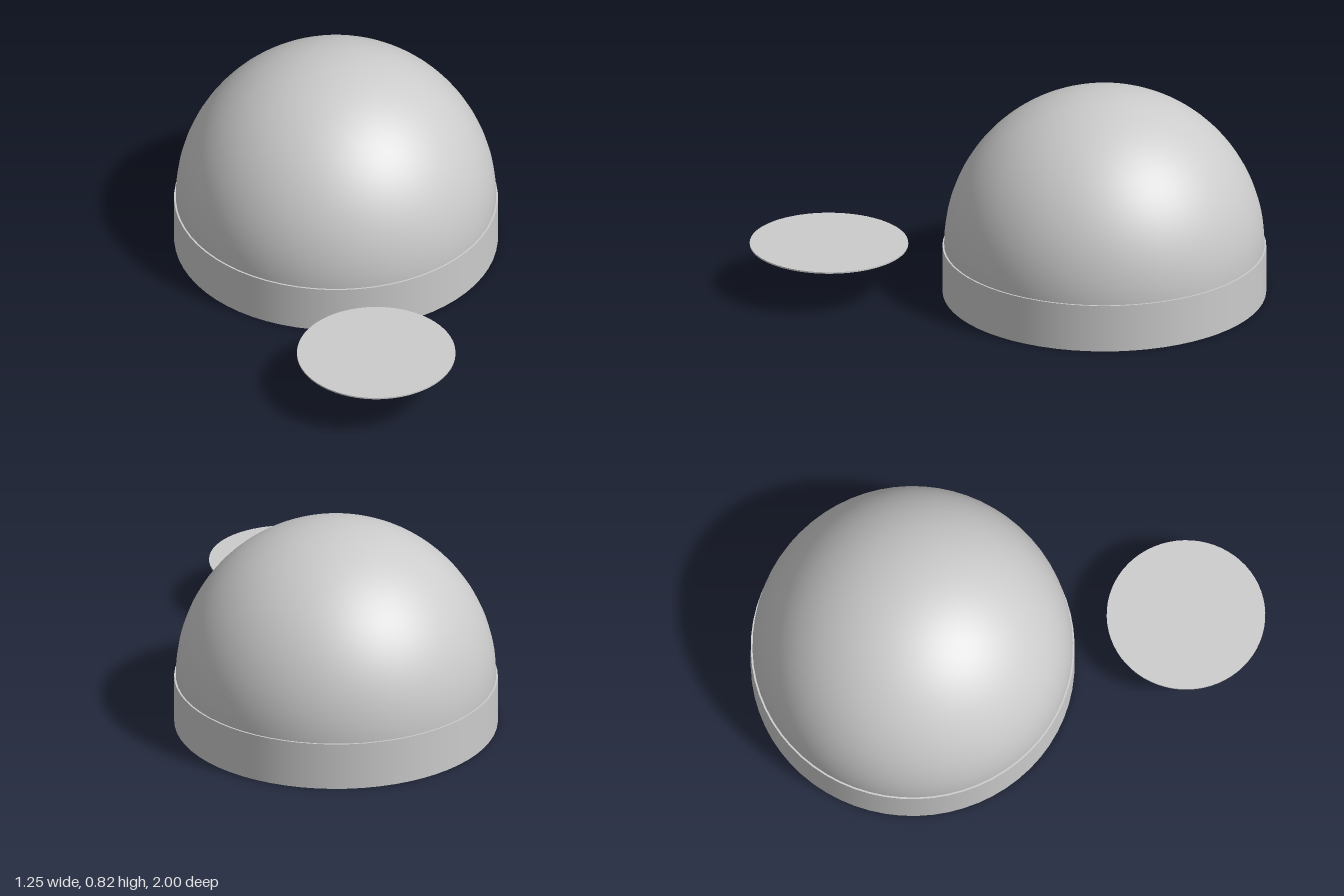
import * as THREE from 'three';

export function createModel() {
  const model = new THREE.Group();
  const material = new THREE.MeshStandardMaterial({ color: 0xcccccc });

  const add = (name, geometry, y, z) => {
    const mesh = new THREE.Mesh(geometry, material);
    mesh.name = name;
    mesh.position.set(0, y, z);
    model.add(mesh);
  };

  const domeZ = -0.373;
  const baseHeight = 0.19;
  const domeRadius = 0.62;
  const domeCentre = 0.2;

  // Round drum that carries the dome
  add('base', new THREE.CylinderGeometry(0.627, 0.627, baseHeight, 64), baseHeight / 2, domeZ);

  // Half sphere, carried down just far enough to meet the drum
  const sweep = Math.PI / 2 + Math.asin((domeCentre - baseHeight) / domeRadius);
  add('dome', new THREE.SphereGeometry(domeRadius, 64, 32, 0, Math.PI * 2, 0, sweep), domeCentre, domeZ);

  // Thin round plate floating in front, level with the drum's top
  add('frontDisc', new THREE.CylinderGeometry(0.307, 0.307, 0.006, 64), 0.192, 0.693);

  return model;
}
